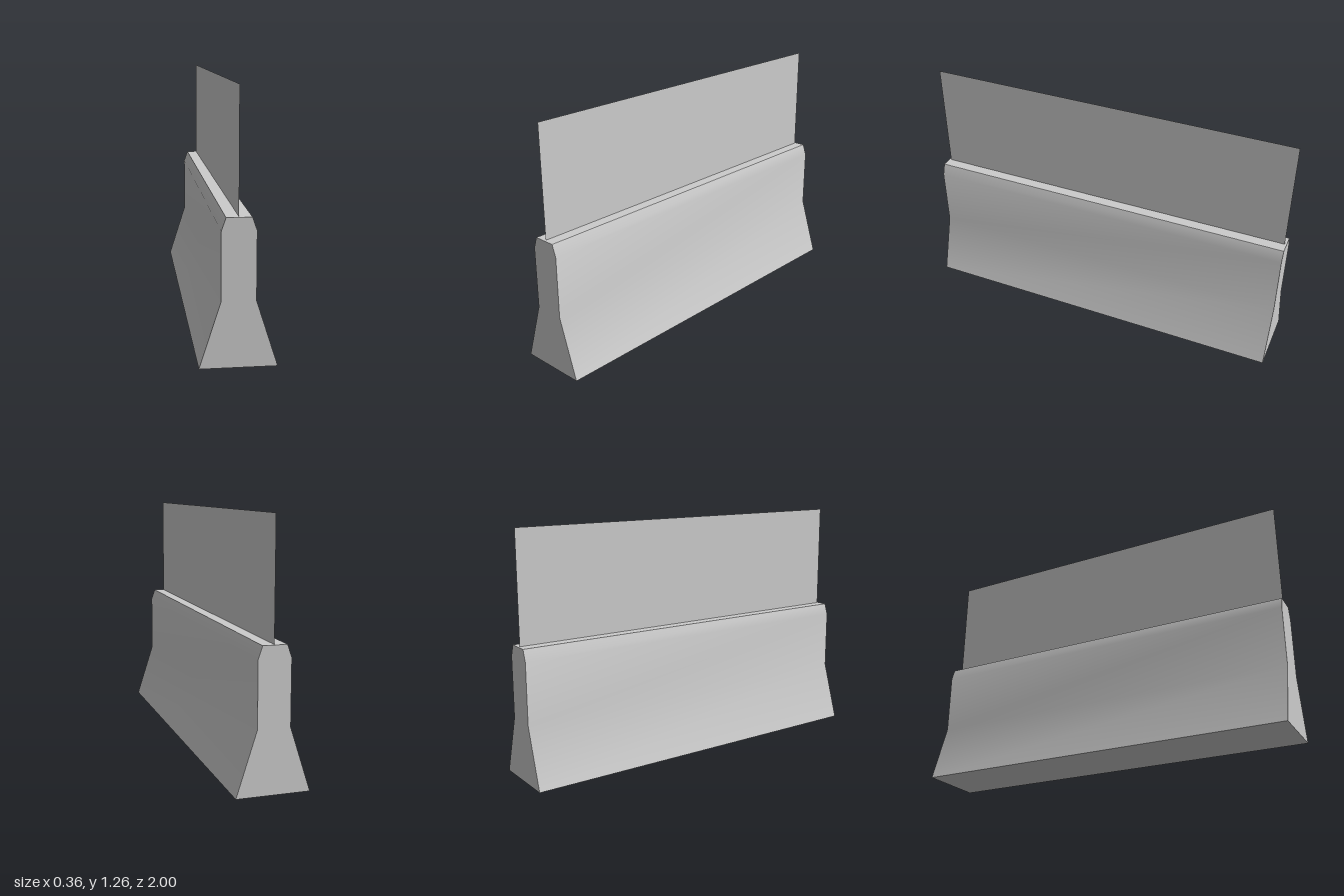
import * as THREE from 'three';
import { toCreasedNormals } from 'three/addons/utils/BufferGeometryUtils.js';

export function createModel() {
  const group = new THREE.Group();
  const material = new THREE.MeshStandardMaterial({ color: 0xcccccc, side: THREE.DoubleSide });

  // Barrier: mirrored profile, flared foot and chamfered top, run along z
  const side = [[0.178, 0], [0.079, 0.31], [0.079, 0.628], [0.058, 0.688]];
  const mirrored = side.map(([x, y]) => [-x, y]).reverse();
  const profile = new THREE.Shape([...side, ...mirrored].map(([x, y]) => new THREE.Vector2(x, y)));
  const body = new THREE.ExtrudeGeometry(profile, { depth: 2, bevelEnabled: false });
  body.translate(0, 0, -1);
  // Shallow bends shade smoothly, while the top, base and ends stay sharp
  const barrier = new THREE.Mesh(toCreasedNormals(body, THREE.MathUtils.degToRad(40)), material);
  barrier.name = 'barrier';
  group.add(barrier);

  // Thin screen standing on the centre line
  const bottom = 0.688, top = 1.26;
  const screen = new THREE.Mesh(new THREE.PlaneGeometry(1.98, top - bottom), material);
  screen.name = 'screen';
  screen.rotation.y = Math.PI / 2;
  screen.position.y = (bottom + top) / 2;
  group.add(screen);

  return group;
}
